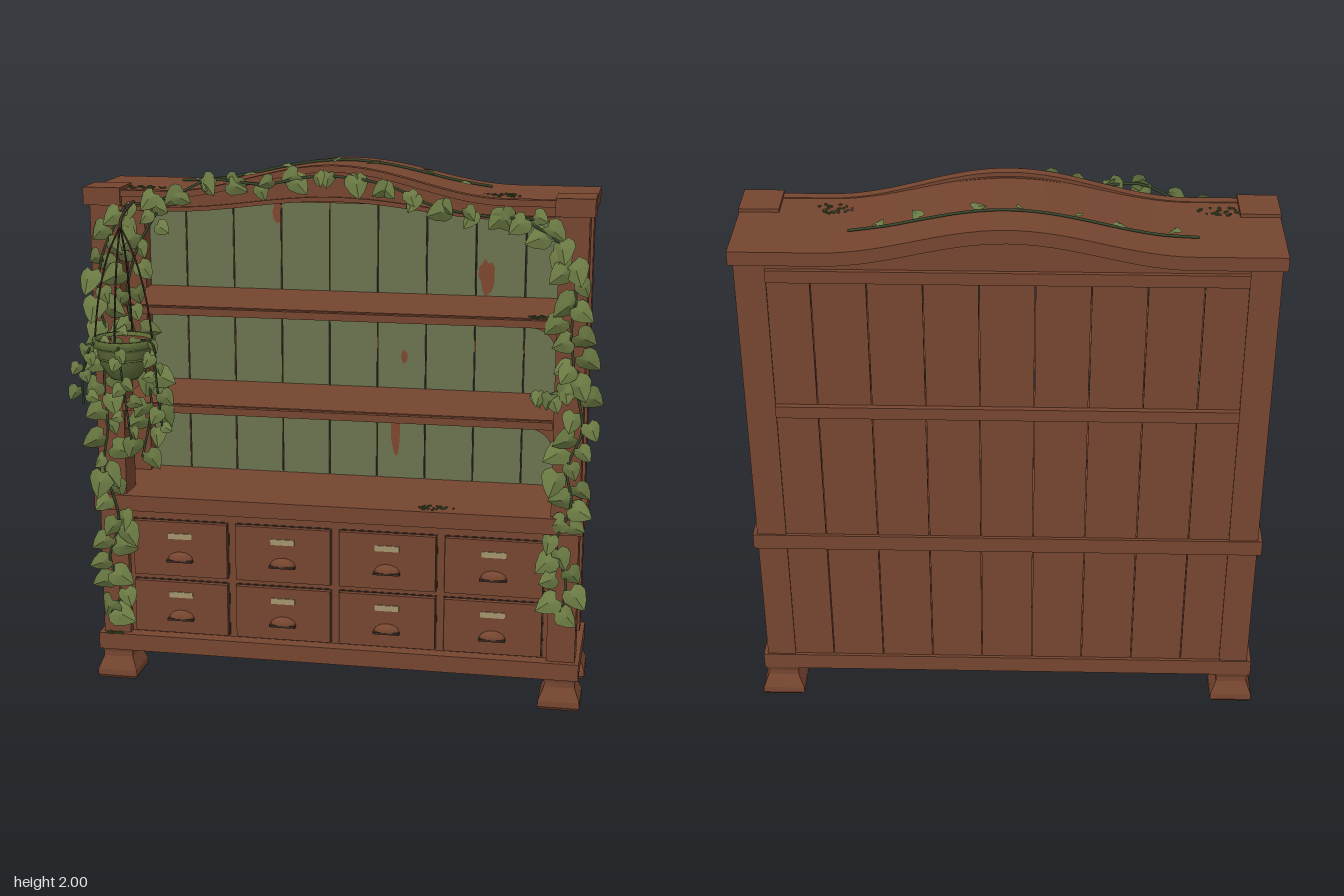
import * as THREE from 'three';
import { mergeGeometries } from 'three/addons/utils/BufferGeometryUtils.js';

const material = (name, color, side = THREE.FrontSide) => {
  const m = new THREE.MeshStandardMaterial({ color, side });
  m.name = name;
  return m;
};

export function createModel() {
  const wood = material('brown wood', 0x75452f);
  const paint = material('faded green paint', 0x6b7350, THREE.DoubleSide);
  const bare = material('bare wood patch', 0x7d4730, THREE.DoubleSide);
  const brass = material('pale brass', 0xa3946c);
  const iron = material('dark iron', 0x3b2c22);
  const potMat = material('glazed green pot', 0x5d6b38);
  const soilMat = material('soil', 0x6a3f2b);
  const leafMat = material('ivy leaf', 0x6c7b44, THREE.DoubleSide);
  const stemMat = material('ivy stem', 0x35452a);
  const mossMat = material('moss', 0x44552d);

  const model = new THREE.Group();
  const cabinet = new THREE.Group();
  cabinet.name = 'cabinet';
  cabinet.position.x = -0.015;
  model.add(cabinet);

  let seed = 7;
  const rand = (a = 0, b = 1) => {
    seed = (seed * 16807) % 2147483647;
    return a + (b - a) * (seed / 2147483647);
  };
  const add = (name, geo, mat, parent = cabinet) => {
    const mesh = new THREE.Mesh(geo, mat);
    mesh.name = name;
    parent.add(mesh);
    return mesh;
  };
  const box = (name, mat, x0, x1, y0, y1, z0, z1) => {
    const b = add(name, new THREE.BoxGeometry(x1 - x0, y1 - y0, z1 - z0), mat);
    b.position.set((x0 + x1) / 2, (y0 + y1) / 2, (z0 + z1) / 2);
    return b;
  };
  const tube = (name, pts, r, mat, parent = model, n = 40) => {
    const curve = new THREE.CatmullRomCurve3(pts.map((p) => new THREE.Vector3(...p)));
    add(name, new THREE.TubeGeometry(curve, n, r, 5), mat, parent);
    return curve;
  };
  const flat = (geo) => {
    const g = geo.toNonIndexed();
    g.computeVertexNormals();
    return g;
  };

  // Posts, feet and corner blocks, mirrored
  const footProfile = [[0, 0], [0.07, 0], [0.078, 0.012], [0.077, 0.035], [0.067, 0.06], [0.057, 0.085], [0.057, 0.105], [0.064, 0.125]]
    .map(([r, y]) => new THREE.Vector2(r * Math.SQRT2, y));
  const footGeo = flat(new THREE.LatheGeometry(footProfile, 4, Math.PI / 4));
  for (const s of [-1, 1]) {
    const side = (name, a, b, ...rest) => box(name, wood, Math.min(s * a, s * b), Math.max(s * a, s * b), ...rest);
    side('frontPost', 0.8, 0.905, 0.12, 1.86, -0.045, 0.075);
    side('backPost', 0.8, 0.905, 0.12, 1.86, -0.352, -0.26);
    side('sidePanel', 0.78, 0.885, 0.18, 0.69, -0.27, -0.03);
    side('sidePanelRail', 0.8, 0.9, 0.66, 0.69, -0.27, -0.03);
    side('cornerBlock', 0.785, 0.924, 1.84, 1.905, -0.06, 0.092);
    for (const z of [0.022, -0.297]) add('foot', footGeo, wood).position.set(s * 0.852, 0, z);
  }

  // Lower chest and its mouldings
  box('baseRail', wood, -0.921, 0.921, 0.12, 0.185, -0.358, 0.097);
  box('chestBody', wood, -0.81, 0.81, 0.18, 0.69, -0.33, 0.045);
  box('counter', wood, -0.921, 0.921, 0.685, 0.745, -0.358, 0.097);

  // Drawers with label plates and cup pulls
  const cup = new THREE.SphereGeometry(0.048, 16, 6, 0, Math.PI * 2, 0, Math.PI / 2).scale(1, 0.62, 0.5);
  for (let col = 0; col < 4; col++) for (const [y0, y1] of [[0.195, 0.4], [0.425, 0.64]]) {
    const x = (col - 1.5) * 0.398, h = (y0 + y1) / 2;
    box('drawerEdge', iron, x - 0.187, x + 0.187, y0 - 0.004, y1 + 0.004, 0.04, 0.048);
    box('drawerFront', wood, x - 0.182, x + 0.182, y0, y1, 0.04, 0.068);
    box('labelPlate', brass, x - 0.046, x + 0.046, h + 0.041, h + 0.063, 0.067, 0.072);
    add('cupPull', cup, wood).position.set(x, h - 0.04, 0.068);
    box('cupPullLip', iron, x - 0.05, x + 0.05, h - 0.046, h - 0.039, 0.066, 0.092);
  }

  // Back boards, painted on the inside, with battens behind
  for (let i = -4; i <= 4; i++) {
    const x = i * 0.187;
    box('backBoard', wood, x - 0.092, x + 0.092, 0.18, 1.84, -0.346, -0.335);
    box('paintedBoard', paint, x - 0.091, x + 0.091, 0.745, 1.84, -0.335, -0.329);
  }
  for (const y of [1.255, 1.785]) box('backBatten', wood, -0.8, 0.8, y, y + 0.045, -0.366, -0.34);
  box('upperInnerRail', wood, -0.82, 0.82, 1.815, 1.85, -0.335, -0.3);

  // Worn patches in the paint
  for (const [x, y, w, h] of [[-0.295, 1.775, 0.02, 0.05], [0.51, 1.55, 0.034, 0.075], [0.197, 1.23, 0.014, 0.03], [0.167, 0.95, 0.026, 0.12]]) {
    const pts = [];
    for (let i = 0; i < 14; i++) {
      const a = (i / 14) * Math.PI * 2, k = rand(0.65, 1.05);
      pts.push(new THREE.Vector2(Math.cos(a) * w * k, Math.sin(a) * h * k));
    }
    add('wornPatch', new THREE.ShapeGeometry(new THREE.Shape(pts)), bare).position.set(x, y, -0.327);
  }

  // Shelves with curved corner brackets
  const bracket = new THREE.Shape();
  bracket.moveTo(0, 0);
  bracket.lineTo(0.085, 0);
  bracket.quadraticCurveTo(0.012, -0.012, 0, -0.085);
  const bracketGeo = new THREE.ExtrudeGeometry(bracket, { depth: 0.025, bevelEnabled: false, curveSegments: 8 });
  for (const y of [1.07, 1.44]) {
    box('shelf', wood, -0.82, 0.82, y, y + 0.035, -0.33, 0.07);
    box('shelfNosing', wood, -0.8, 0.8, y + 0.004, y + 0.031, 0.065, 0.09);
    for (const s of [-1, 1]) {
      const b = add('shelfBracket', bracketGeo, wood);
      b.position.set(s * 0.8, y, s < 0 ? 0.035 : 0.06);
      b.rotation.y = s < 0 ? 0 : Math.PI;
    }
  }

  // Arched top: slab, front pediment, moulding and back infill
  const bump = (x) => (Math.abs(x) < 0.62 ? 0.5 + 0.5 * Math.cos((Math.PI * x) / 0.62) : 0);
  const arch = (name, half, top, bottom, z0, z1) => {
    const upper = [], lower = [];
    for (let i = 0; i <= 48; i++) {
      const x = -half + (2 * half * i) / 48;
      upper.push(new THREE.Vector2(x, top(x)));
      lower.push(new THREE.Vector2(x, bottom(x)));
    }
    const geo = new THREE.ExtrudeGeometry(new THREE.Shape([...lower, ...upper.reverse()]), { depth: z1 - z0, bevelEnabled: false });
    add(name, geo, wood).position.z = z0;
  };
  arch('topSlab', 0.922, (x) => 1.893 + 0.09 * bump(x), (x) => 1.843 + 0.09 * bump(x), -0.356, 0.06);
  arch('pediment', 0.9, (x) => 1.885 + 0.1 * bump(x), (x) => 1.825 + 0.05 * bump(x), 0.04, 0.07);
  arch('pedimentMoulding', 0.922, (x) => 1.896 + 0.104 * bump(x), (x) => 1.872 + 0.104 * bump(x), 0.05, 0.085);
  arch('pedimentBead', 0.8, (x) => 1.838 + 0.05 * bump(x), (x) => 1.822 + 0.05 * bump(x), 0.06, 0.08);
  arch('backInfill', 0.82, (x) => 1.86 + 0.09 * bump(x), () => 1.81, -0.35, -0.335);

  // Folded heart-shaped ivy leaf, hanging tip-down from its stalk
  const outline = [[0, 0], [0.25, 0.13], [0.46, -0.05], [0.5, -0.3], [0.3, -0.68], [0, -1], [-0.3, -0.68], [-0.5, -0.3], [-0.46, -0.05], [-0.25, 0.13]];
  const leafPos = [0, -0.35, 0.08], leafIdx = [];
  outline.forEach(([x, y], i) => {
    leafPos.push(x, y, -0.22 * Math.abs(x));
    leafIdx.push(0, ((i + 1) % outline.length) + 1, i + 1);
  });
  const leafBase = new THREE.BufferGeometry();
  leafBase.setAttribute('position', new THREE.Float32BufferAttribute(leafPos, 3));
  leafBase.setIndex(leafIdx.reverse());
  const leafGeo = flat(leafBase);
  const dummy = new THREE.Object3D();

  // A vine is a stem tube with leaves alternating along it
  const vine = (name, pts, count, size, spread, lie = 0, r = 0.005) => {
    const curve = tube(name + 'Stem', pts, r, stemMat);
    const leaves = [];
    for (let i = 0; i < count; i++) {
      const p = curve.getPointAt((i + 0.5) / count), s = i % 2 ? 1 : -1;
      const k = size * rand(0.75, 1.2);
      dummy.position.set(p.x + s * rand(0, spread), p.y + (lie ? 0.006 : rand(-0.01, 0.025)), p.z + rand(0, 0.018));
      dummy.rotation.set(lie + rand(-0.45, 0.3), rand(-0.6, 0.6), s * rand(0.1, 1.3));
      dummy.scale.set(k, k, k);
      dummy.updateMatrix();
      leaves.push(leafGeo.clone().applyMatrix4(dummy.matrix));
    }
    add(name + 'Leaves', mergeGeometries(leaves), leafMat, model);
  };
  const front = (z, pts) => pts.map(([x, y]) => [x, y, z]);
  vine('leftIvy', front(0.1, [[-0.78, 1.84], [-0.87, 1.66], [-0.89, 1.5], [-0.86, 1.34], [-0.88, 1.2], [-0.87, 1.02], [-0.89, 0.86], [-0.84, 0.65], [-0.88, 0.5], [-0.84, 0.36], [-0.88, 0.27]]), 38, 0.085, 0.03);
  vine('leftInnerIvy', front(0.1, [[-0.66, 1.82], [-0.74, 1.68], [-0.78, 1.5], [-0.72, 1.25], [-0.7, 1.1], [-0.74, 0.9]]), 24, 0.08, 0.045);
  vine('rightIvy', front(0.1, [[0.66, 1.83], [0.8, 1.74], [0.85, 1.6], [0.84, 1.45], [0.86, 1.25], [0.89, 1.08], [0.84, 0.94], [0.86, 0.8], [0.81, 0.66], [0.85, 0.5], [0.83, 0.37]]), 38, 0.085, 0.035);
  vine('rightInnerIvy', front(0.1, [[0.87, 1.3], [0.8, 1.22], [0.7, 1.2]]), 8, 0.075, 0.02);
  vine('archIvy', front(0.092, [[-0.78, 1.84], [-0.6, 1.88], [-0.47, 1.94], [-0.26, 1.93], [-0.1, 1.96], [0.05, 1.96], [0.2, 1.93], [0.34, 1.87], [0.5, 1.84], [0.7, 1.83]]), 28, 0.075, 0.03);
  const topVine = [];
  for (let x = -0.65; x <= 0.52; x += 0.13) topVine.push([x, 1.899 + 0.09 * bump(x + 0.015), -0.225 + 0.012 * (x + 0.65)]);
  vine('topIvy', topVine, 7, 0.05, 0.01, -Math.PI / 2);

  // Moss clumps
  const mossGeo = new THREE.IcosahedronGeometry(1, 0);
  for (const [x, y, z, w, d] of [[-0.74, 1.895, -0.02, 0.08, 0.035], [0.57, 1.896, -0.03, 0.08, 0.04], [0.36, 0.747, 0.05, 0.075, 0.03], [0.72, 1.477, 0.05, 0.045, 0.025], [-0.88, 0.187, 0.09, 0.035, 0.01]]) {
    const bits = [];
    for (let i = 0; i < 26; i++) {
      const a = rand(0, 6.28), q = Math.sqrt(rand()), k = rand(0.004, 0.008);
      bits.push(mossGeo.clone().scale(k, k * 0.7, k).translate(x + Math.cos(a) * q * w, y, z + Math.sin(a) * q * d));
    }
    add('moss', mergeGeometries(bits), mossMat, model);
  }

  // Hanging pot on a curved bracket
  const px = -0.755, pz = 0.24;
  const potProfile = [[0, 1.238], [0.05, 1.238], [0.06, 1.25], [0.086, 1.29], [0.098, 1.345], [0.098, 1.352], [0.114, 1.358], [0.114, 1.386], [0.1, 1.386], [0.097, 1.36]]
    .map(([r, y]) => new THREE.Vector2(r, y));
  add('hangingPot', new THREE.LatheGeometry(potProfile, 28), potMat, model).position.set(px, 0, pz);
  const band = add('potBand', new THREE.TorusGeometry(0.093, 0.004, 6, 28), potMat, model);
  band.position.set(px, 1.315, pz);
  band.rotation.x = Math.PI / 2;
  add('potSoil', new THREE.CylinderGeometry(0.099, 0.099, 0.01, 28), soilMat, model).position.set(px, 1.368, pz);
  tube('hangingBracket', [[px, 1.855, 0.06], [px, 1.845, 0.12], [px, 1.825, 0.2], [px, 1.805, 0.235], [px, 1.78, 0.24]], 0.006, iron);
  for (let i = 0; i < 4; i++) {
    const a = (i / 4) * Math.PI * 2, c = Math.cos(a), s = Math.sin(a);
    tube('potWire', [[px, 1.79, pz], [px + c * 0.05, 1.68, pz + s * 0.05], [px + c * 0.09, 1.52, pz + s * 0.09], [px + c * 0.108, 1.38, pz + s * 0.108]], 0.0035, iron, model, 16);
  }
  const trails = [
    [[px + 0.05, 1.38, pz], [-0.63, 1.38, 0.3], [-0.61, 1.25, 0.33], [-0.59, 1.07, 0.335]],
    [[px, 1.38, pz + 0.05], [-0.74, 1.37, 0.355], [-0.72, 1.2, 0.36], [-0.7, 1.04, 0.362]],
    [[px - 0.05, 1.38, pz], [-0.85, 1.37, 0.32], [-0.88, 1.26, 0.34], [-0.88, 1.16, 0.345]],
  ];
  trails.forEach((pts) => vine('potTrail', pts, 8, 0.055, 0.02, 0, 0.004));

  return model;
}
